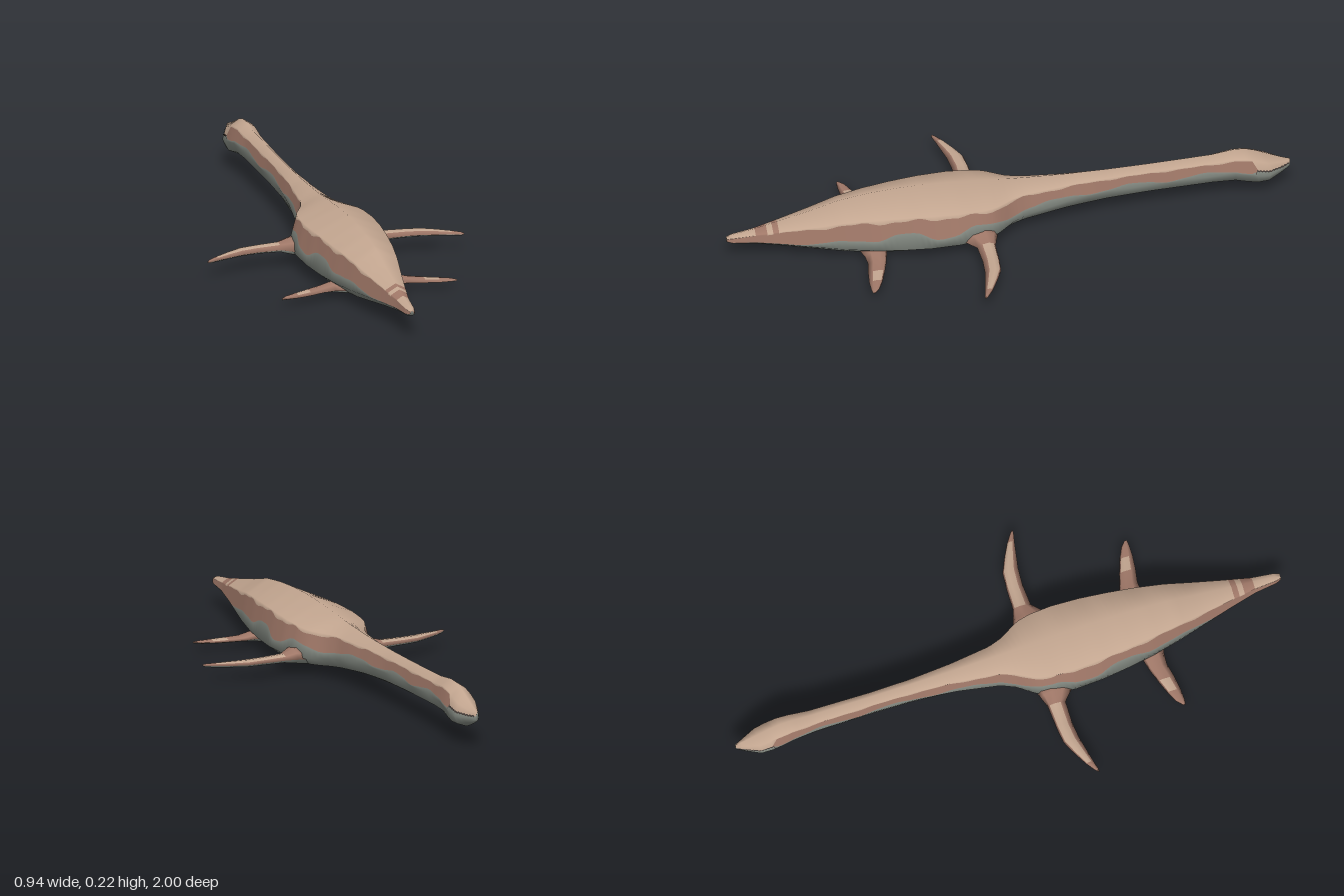
import * as THREE from 'three';

const mat = (name, color, side = THREE.FrontSide) => {
  const m = new THREE.MeshStandardMaterial({ color, side });
  m.name = name;
  return m;
};

// Trunk profile: z, top, bottom, half width (snout at -z, tail at +z)
const PROFILE = [
  [-1, 0.14, 0.108, 0.006], [-0.97, 0.15, 0.09, 0.022], [-0.92, 0.173, 0.068, 0.047],
  [-0.88, 0.193, 0.064, 0.05], [-0.84, 0.207, 0.072, 0.049], [-0.8, 0.209, 0.083, 0.045],
  [-0.72, 0.199, 0.083, 0.037], [-0.5, 0.194, 0.077, 0.033], [-0.35, 0.193, 0.071, 0.036],
  [-0.2, 0.195, 0.06, 0.049], [-0.05, 0.202, 0.043, 0.07], [0.0, 0.205, 0.037, 0.09],
  [0.07, 0.211, 0.029, 0.138], [0.12, 0.215, 0.022, 0.151], [0.2, 0.222, 0.012, 0.156],
  [0.3, 0.226, 0.004, 0.15], [0.4, 0.225, 0.002, 0.137], [0.5, 0.218, 0.007, 0.121],
  [0.6, 0.204, 0.018, 0.1], [0.7, 0.175, 0.036, 0.075], [0.8, 0.15, 0.054, 0.05],
  [0.9, 0.126, 0.07, 0.027], [0.98, 0.112, 0.079, 0.018], [1, 0.104, 0.086, 0.01],
];
const lerp = THREE.MathUtils.lerp;
const clamp01 = (v) => Math.min(1, Math.max(0, v));

function profileAt(z) {
  let i = 1;
  while (i < PROFILE.length - 1 && PROFILE[i][0] < z) i++;
  const a = PROFILE[i - 1], b = PROFILE[i], t = clamp01((z - a[0]) / (b[0] - a[0]));
  return a.map((v, k) => lerp(v, b[k], t));
}

// Half section from back ridge to belly; the angular trunk softens into a rounder neck
function halfSection(z) {
  const [, top, bottom, w] = profileAt(z), h = top - bottom;
  const k = clamp01((z + 0.25) / 0.3);
  const shoulder = [lerp(0.72, 0.8, k) * w, bottom + lerp(0.82, 0.77, k) * h];
  const flank = [w, bottom + lerp(0.4, 0.24, k) * h];
  const low = [lerp(0.75, 0.66, k) * w, bottom + lerp(0.13, 0.07, k) * h];
  // Uneven borders of the three skin tones
  const wave = Math.sin(z * 31) * 0.6 + Math.sin(z * 67 + 1) * 0.4;
  let upper = 0.1 + 0.07 * wave;
  let lower = lerp(0.78, 0.6, k) + 0.13 * Math.sin(z * 23 + 2) + 0.05 * wave;
  if (z > 0.55) lower = lerp(lower, 0.95, clamp01((z - 0.55) / 0.2));
  if (z < -0.87) upper = lower = 0.64;
  const along = (t) => [lerp(shoulder[0], flank[0], t), lerp(shoulder[1], flank[1], t)];
  return [[0, top], shoulder, along(upper), along(Math.min(0.97, lower)), flank, low, [0, bottom]];
}

// Skin closed rings of points; pick(i, j) gives the material index of each face
function loft(rings, materials, pick) {
  const n = rings[0].length, buckets = materials.map(() => []);
  for (let i = 0; i < rings.length - 1; i++) {
    for (let j = 0; j < n; j++) {
      const a = i * n + j, b = i * n + (j + 1) % n, c = a + n, d = b + n;
      buckets[pick(i, j)].push(a, c, b, b, c, d);
    }
  }
  const last = rings.length - 1;
  for (let j = 1; j < n - 1; j++) {
    buckets[pick(0, j)].push(0, j, j + 1);
    buckets[pick(last - 1, j)].push(last * n, last * n + j + 1, last * n + j);
  }
  const g = new THREE.BufferGeometry();
  g.setAttribute('position', new THREE.Float32BufferAttribute(rings.flat(2), 3));
  g.setIndex(buckets.flat());
  let start = 0;
  buckets.forEach((b, k) => { g.addGroup(start, b.length, k); start += b.length; });
  g.computeVertexNormals();
  return new THREE.Mesh(g, materials);
}

// Flipper stations: x, leading z, trailing z, bottom y, top y
const FRONT_FLIPPER = [
  [0.09, 0.05, 0.21, 0.04, 0.11], [0.15, 0.07, 0.185, 0.048, 0.098], [0.19, 0.083, 0.148, 0.055, 0.085],
  [0.27, 0.086, 0.145, 0.057, 0.082], [0.33, 0.092, 0.15, 0.057, 0.08], [0.38, 0.115, 0.16, 0.057, 0.077],
  [0.43, 0.142, 0.17, 0.057, 0.073], [0.46, 0.163, 0.177, 0.058, 0.07], [0.47, 0.172, 0.177, 0.06, 0.067],
];
const REAR_FLIPPER = [
  [0.07, 0.44, 0.55, 0.018, 0.065], [0.12, 0.455, 0.533, 0.025, 0.055], [0.16, 0.464, 0.53, 0.027, 0.045],
  [0.21, 0.48, 0.54, 0.026, 0.041], [0.26, 0.498, 0.546, 0.025, 0.038], [0.3, 0.517, 0.547, 0.026, 0.036],
  [0.32, 0.535, 0.545, 0.027, 0.033],
];

function flipper(stations, side, materials, paleRange) {
  const rings = stations.map(([x, z0, z1, y0, y1]) => {
    const ym = lerp(y0, y1, 0.4);
    const ring = [
      [1, ym], [0.72, lerp(y0, y1, 0.85)], [0.35, y1], [0.1, lerp(y0, y1, 0.8)],
      [0, ym], [0.25, y0], [0.7, y0],
    ].map(([t, y]) => [side * x, y, lerp(z0, z1, t)]);
    return side > 0 ? ring : ring.reverse();
  });
  return loft(rings, materials, (i, j) => {
    const f = side > 0 ? j : (12 - j) % 7;
    if (f >= 4) return 2;
    return i >= paleRange[0] && i < paleRange[1] && (f === 1 || f === 2) ? 0 : 1;
  });
}

// Jagged mouth line lying just outside the skin of the head
function mouthLine(side, material) {
  const pos = [], index = [], steps = 22;
  for (let i = 0; i <= steps; i++) {
    const z = lerp(-0.995, -0.87, i / steps);
    const s = halfSection(z)[3], jag = i % 2 ? 0.004 : 0.001;
    for (const dy of [0.001 + jag, -0.005 + jag]) pos.push(side * (s[0] + 0.002 - dy * 0.2), s[1] + dy, z);
    if (i < steps) index.push(2 * i, 2 * i + 1, 2 * i + 2, 2 * i + 1, 2 * i + 3, 2 * i + 2);
  }
  const g = new THREE.BufferGeometry();
  g.setAttribute('position', new THREE.Float32BufferAttribute(pos, 3));
  g.setIndex(index);
  g.computeVertexNormals();
  return new THREE.Mesh(g, material);
}

export function createModel() {
  const model = new THREE.Group();
  model.name = 'longNeckedSeaReptile';
  const skin = [mat('backTan', 0xc3a690), mat('flankBrown', 0xa07868), mat('bellyGrey', 0x868c84)];
  const dark = mat('mouthDark', 0x463d39, THREE.DoubleSide);

  // Head, neck, trunk and tail as one skin
  const zs = [];
  for (let i = 0; i <= 100; i++) zs.push(-1 + i * 0.02);
  const rings = zs.map((z) => {
    const half = halfSection(z);
    const mirrored = half.slice(1, -1).reverse().map(([x, y]) => [-x, y]);
    return [...half, ...mirrored].map(([x, y]) => [x, y, z]);
  });
  const body = loft(rings, skin, (i, j) => {
    const f = j < 6 ? j : 11 - j, z = zs[i] + 0.01;
    const tailBand = (z > 0.82 && z < 0.84) || (z > 0.86 && z < 0.9);
    if (f < 2) return tailBand ? 1 : 0;
    return f === 2 ? 1 : 2;
  });
  body.name = 'body';
  model.add(body);

  // Paired flippers and mouth lines
  for (const side of [1, -1]) {
    const label = side > 0 ? 'left' : 'right';
    const front = flipper(FRONT_FLIPPER, side, skin, [2, 6]);
    front.name = label + 'FrontFlipper';
    const rear = flipper(REAR_FLIPPER, side, skin, [3, 4]);
    rear.name = label + 'RearFlipper';
    const mouth = mouthLine(side, dark);
    mouth.name = label + 'MouthLine';
    model.add(front, rear, mouth);
  }
  return model;
}
